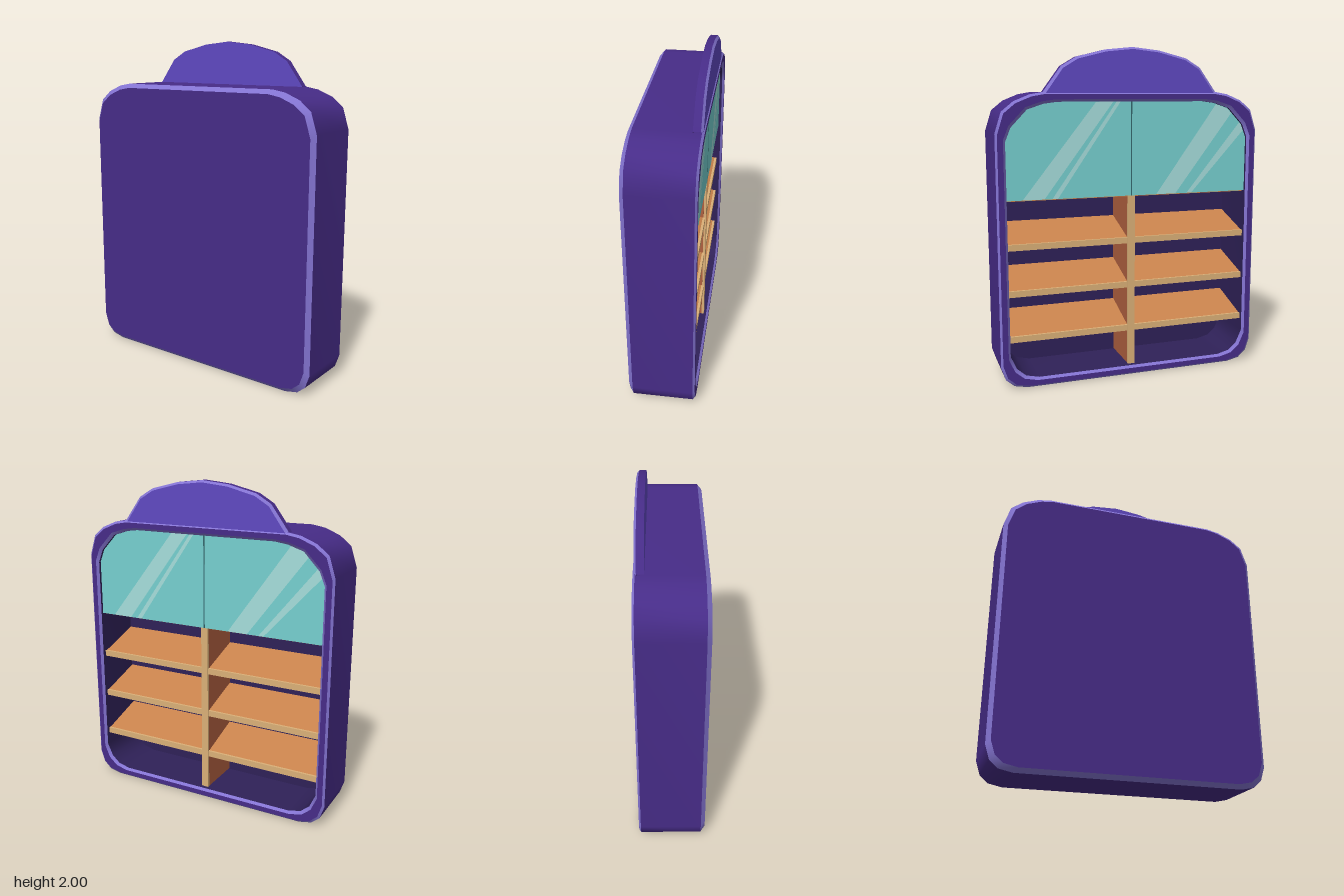
import * as THREE from 'three';

const PURPLE = 0x472c88, TRIM = 0x8474d2, DARK = 0x2f2158, CREST = 0x6049c2;
const WOOD = 0xc8834c, EDGE = 0xdbb078, RED_WOOD = 0xb0603f, GLASS = 0x76d0d0, SHINE = 0xa6dedc;

// Mirrors the right half of an outline (bottom to top) into a full loop
function mirrored(half) {
  const left = half.filter(p => p[0] > 0).reverse().map(([x, y]) => [-x, y]);
  return [...half, ...left];
}

// Shrinks an outline towards its middle by about d
function inset(points, d) {
  const ys = points.map(p => p[1]);
  const w = Math.max(...points.map(p => p[0]));
  const lo = Math.min(...ys), hi = Math.max(...ys), mid = (lo + hi) / 2;
  return points.map(([x, y]) => [x * (1 - d / w), mid + (y - mid) * (1 - 2 * d / (hi - lo))]);
}

export function createModel() {
  const model = new THREE.Group();
  model.name = 'displayCabinet';
  const cabinet = new THREE.Group();
  cabinet.name = 'cabinet';
  cabinet.rotation.y = Math.PI / 2; // built facing +z, opening turned to +x
  model.add(cabinet);

  const add = (name, geometry, color) => {
    const mesh = new THREE.Mesh(geometry, new THREE.MeshStandardMaterial({ color }));
    mesh.name = name;
    cabinet.add(mesh);
    return mesh;
  };

  // Strip of quads joining two loops with equal point counts
  const band = (name, a, za, b, zb, color) => {
    const n = a.length, pos = [], index = [];
    a.forEach(([x, y]) => pos.push(x, y, za));
    b.forEach(([x, y]) => pos.push(x, y, zb));
    for (let i = 0; i < n; i++) {
      const j = (i + 1) % n;
      index.push(i, j, n + j, i, n + j, n + i);
    }
    const g = new THREE.BufferGeometry();
    g.setAttribute('position', new THREE.Float32BufferAttribute(pos, 3));
    g.setIndex(index);
    g.computeVertexNormals();
    return add(name, g, color);
  };

  // Flat panel filling an outline
  const cap = (name, points, z, color, faceBack = false) => {
    const g = new THREE.ShapeGeometry(new THREE.Shape(points.map(p => new THREE.Vector2(...p))));
    if (faceBack) g.rotateY(Math.PI); // outlines used here are symmetric
    g.translate(0, 0, z);
    return add(name, g, color);
  };

  const box = (name, w, h, d, x, y, z, color) => {
    const mesh = add(name, new THREE.BoxGeometry(w, h, d), color);
    mesh.position.set(x, y, z);
    return mesh;
  };

  const outer = mirrored([
    [0.66, 0], [0.74, 0.017], [0.79, 0.06], [0.817, 0.14],
    [0.817, 1.51], [0.778, 1.633], [0.708, 1.69], [0.615, 1.728], [0.535, 1.742],
  ]);
  const inner = mirrored([
    [0.59, 0.055], [0.668, 0.074], [0.722, 0.12], [0.758, 0.2],
    [0.758, 1.463], [0.726, 1.543], [0.63, 1.644], [0.535, 1.675], [0.456, 1.686],
  ]);

  // Case: back panel, bevels, sides, front rim and cavity
  const backFace = inset(outer, 0.025), rimOuter = inset(outer, 0.012), rimInner = inset(inner, -0.014);
  cap('backPanel', backFace, -0.2, PURPLE, true);
  band('backBevel', backFace, -0.2, outer, -0.175, TRIM);
  band('caseSides', outer, -0.175, outer, 0.188, PURPLE);
  band('frontBevel', outer, 0.188, rimOuter, 0.2, TRIM);
  band('frontRim', rimOuter, 0.2, rimInner, 0.2, PURPLE);
  band('innerBevel', rimInner, 0.2, inner, 0.186, TRIM);
  band('cavityWall', inner, 0.186, inner, -0.13, DARK);
  cap('cavityBack', inner, -0.13, DARK);

  // Crest on top, flush with the front
  const crest = mirrored([
    [0.55, 1.725], [0.535, 1.745], [0.43, 1.887], [0.34, 1.94], [0.165, 1.983], [0, 2],
  ]);
  const crestFace = crest.map(([x, y]) => [x * 0.978, y > 1.73 ? y - 0.012 : y]);
  cap('crestBack', crest, 0.14, CREST, true);
  band('crestEdge', crest, 0.14, crest, 0.182, PURPLE);
  band('crestBevel', crest, 0.182, crestFace, 0.194, TRIM);
  cap('crestFront', crestFace, 0.194, CREST);

  // Shelves rise towards the back; the topmost sits behind the glass
  [0.275, 0.552, 0.83, 1.118].forEach((y, i) => {
    const g = new THREE.BoxGeometry(1.514, 0.035, 0.28);
    const p = g.attributes.position;
    for (let k = 0; k < p.count; k++) p.setY(k, p.getY(k) + (0.14 - p.getZ(k)) * 0.33);
    g.computeVertexNormals();
    add('shelf', g, WOOD).position.set(0, y + 0.0175, 0.01);
    if (i < 3) box('shelfEdge', 1.514, 0.037, 0.015, 0, y + 0.0185, 0.157, EDGE);
  });

  // Upright divider
  box('divider', 0.04, 1.065, 0.285, 0, 0.5925, 0.0125, RED_WOOD);
  box('dividerEdge', 0.044, 1.065, 0.015, 0, 0.5925, 0.163, EDGE);

  // Glass panes, seam and reflections
  const pane = mirrored([[0.758, 1.125], ...inner.slice(4, 9)]);
  band('glassEdge', pane, 0.15, pane, 0.17, 0x3f8585);
  cap('glassFront', pane, 0.17, GLASS);
  cap('glassBack', pane, 0.15, GLASS, true);
  box('glassSeam', 0.006, 0.56, 0.004, 0, 1.405, 0.17, 0x35696f);
  [
    [[-0.663, 1.126], [-0.535, 1.126], [-0.115, 1.685], [-0.22, 1.685]],
    [[-0.488, 1.126], [-0.455, 1.126], [-0.07, 1.685], [-0.095, 1.685]],
    [[0.16, 1.126], [0.286, 1.126], [0.655, 1.612], [0.63, 1.64], [0.55, 1.668]],
    [[0.36, 1.126], [0.392, 1.126], [0.74, 1.506], [0.726, 1.54], [0.712, 1.555]],
  ].forEach(points => cap('glassReflection', points, 0.172, SHINE));

  return model;
}
